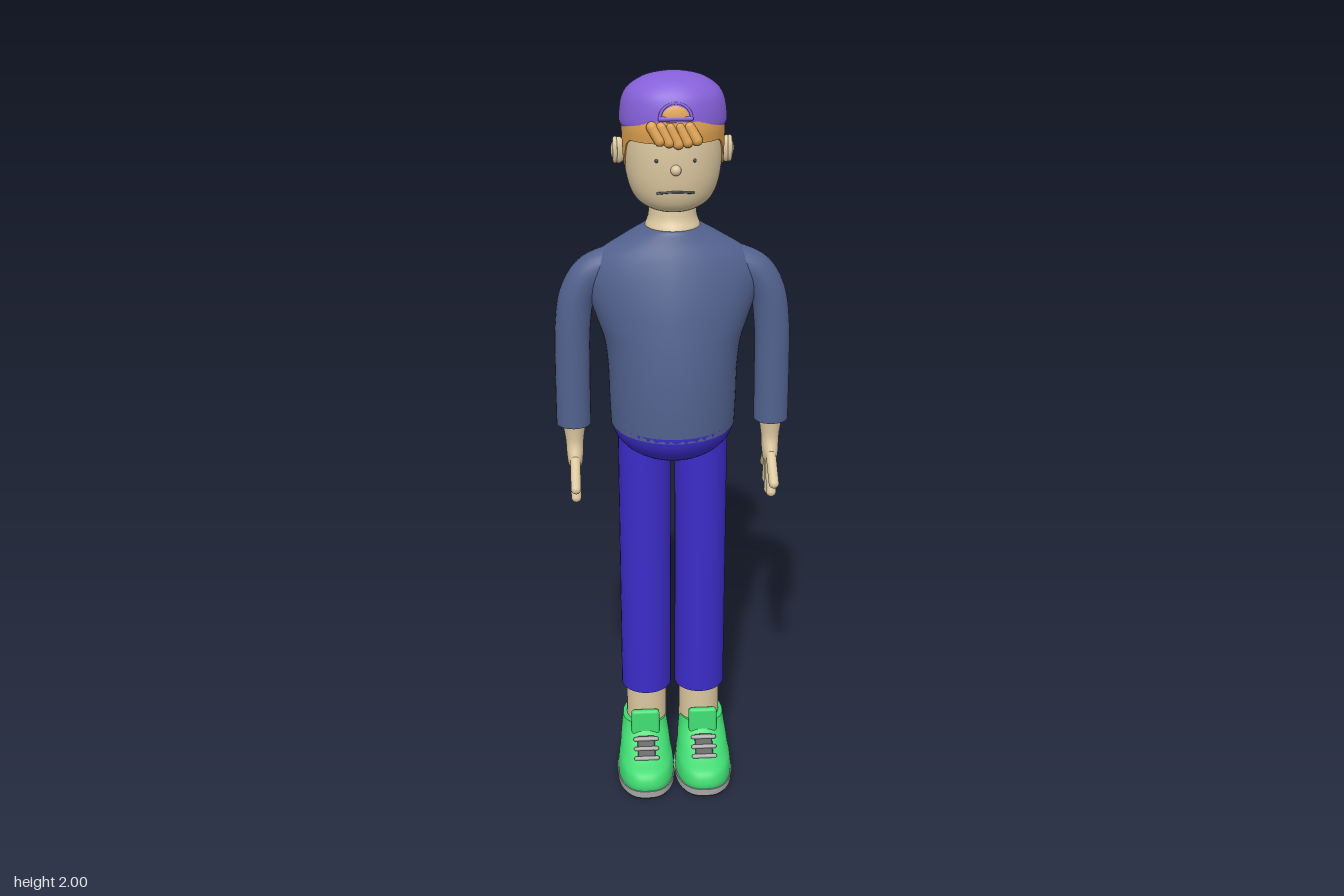
import * as THREE from 'three';
import { RoundedBoxGeometry } from 'three/addons/geometries/RoundedBoxGeometry.js';

const paint = (color) => new THREE.MeshStandardMaterial({ color });
const SKIN = paint(0xdcc8a0), HAIR = paint(0xdca050), CAP = paint(0x8560d8), SHIRT = paint(0x52628f);
const PANTS = paint(0x3b2cc8), GREEN = paint(0x3fd870), SOLE = paint(0xaaaaaa), DARK = paint(0x444444);

function add(parent, name, geometry, material, x = 0, y = 0, z = 0) {
  const mesh = new THREE.Mesh(geometry, material);
  mesh.name = name;
  mesh.position.set(x, y, z);
  parent.add(mesh);
  return mesh;
}

// Catmull-Rom blend of four numbers
const blend = (a, b, c, d, t) =>
  b + 0.5 * t * (c - a + t * (2 * a - 5 * b + 4 * c - d + t * (3 * (b - c) + d - a)));

// Smooth capped loft through rows of [y, half width, back z, front z, roundness]
function loft(rows, rule, steps = 5, seg = 64) {
  const rings = [];
  for (let r = 0; r < rows.length - 1; r++) {
    const q = [-1, 0, 1, 2].map((k) => rows[Math.min(rows.length - 1, Math.max(0, r + k))]);
    for (let s = r ? 1 : 0; s <= steps; s++) rings.push(q[1].map((_, i) => blend(q[0][i], q[1][i], q[2][i], q[3][i], s / steps)));
  }
  const pos = [], index = [];
  const ring = ([y, hx, zb, zf, n]) => {
    for (let i = 0; i < seg; i++) {
      const a = (i / seg) * Math.PI * 2, c = Math.cos(a), s = Math.sin(a);
      const p = new THREE.Vector3(hx * Math.sign(c) * Math.abs(c) ** (2 / n), y,
        (zb + zf) / 2 + ((zf - zb) / 2) * Math.sign(s) * Math.abs(s) ** (2 / n));
      if (rule) rule(p);
      pos.push(p.x, p.y, p.z);
    }
  };
  rings.forEach(ring);
  for (let j = 0; j < rings.length - 1; j++) {
    for (let i = 0; i < seg; i++) {
      const a = j * seg + i, b = j * seg + ((i + 1) % seg);
      index.push(a, a + seg, b, b, a + seg, b + seg);
    }
  }
  for (const [row, top] of [[rings[0], false], [rings[rings.length - 1], true]]) {
    const start = pos.length / 3;
    ring(row);
    const mid = new THREE.Vector3(0, row[0], (row[2] + row[3]) / 2);
    if (rule) rule(mid);
    pos.push(mid.x, mid.y, mid.z);
    for (let i = 0; i < seg; i++) {
      const a = start + i, b = start + ((i + 1) % seg);
      index.push(start + seg, top ? b : a, top ? a : b);
    }
  }
  const g = new THREE.BufferGeometry();
  g.setAttribute('position', new THREE.Float32BufferAttribute(pos, 3));
  g.setIndex(index);
  g.computeVertexNormals();
  return g;
}

// Rod with round ends between two points
function rod(parent, name, a, b, radius, material) {
  const p = new THREE.Vector3(...a), q = new THREE.Vector3(...b), d = q.clone().sub(p);
  const mesh = add(parent, name, new THREE.CapsuleGeometry(radius, d.length(), 6, 14), material);
  mesh.position.copy(p).add(q).multiplyScalar(0.5);
  mesh.quaternion.setFromUnitVectors(new THREE.Vector3(0, 1, 0), d.normalize());
  return mesh;
}

function buildHead(model) {
  const head = new THREE.Group();
  head.name = 'head';
  model.add(head);
  add(head, 'neck', loft([[1.59, 0.074, -0.074, 0.078, 2], [1.62, 0.069, -0.068, 0.072, 2], [1.65, 0.06, -0.06, 0.058, 2], [1.72, 0.058, -0.058, 0.052, 2]]), SKIN);
  add(head, 'face', loft([[1.667, 0.025, -0.025, 0.055, 2], [1.675, 0.062, -0.052, 0.088, 2.1], [1.70, 0.095, -0.077, 0.111, 2.1],
    [1.75, 0.114, -0.087, 0.123, 2.1], [1.82, 0.12, -0.09, 0.126, 2.1], [1.9, 0.118, -0.09, 0.12, 2.1]]), SKIN);
  add(head, 'nose', new THREE.SphereGeometry(0.013, 16, 12), SKIN, 0, 1.787, 0.128);
  const smile = new THREE.CatmullRomCurve3([[-0.045, 1.728, 0.113], [0, 1.733, 0.1205], [0.045, 1.728, 0.113]].map((p) => new THREE.Vector3(...p)));
  add(head, 'mouth', new THREE.TubeGeometry(smile, 16, 0.003, 6), DARK);

  for (const s of [-1, 1]) {
    add(head, 'eye', new THREE.SphereGeometry(0.005, 12, 8), DARK, s * 0.045, 1.808, 0.117);
    const ear = add(head, 'ear', new THREE.SphereGeometry(1, 20, 14), SKIN, s * 0.132, 1.805, -0.006);
    ear.scale.set(0.019, 0.033, 0.016);
    const lobe = add(head, 'earRim', new THREE.TorusGeometry(0.02, 0.006, 8, 20), SKIN, s * 0.14, 1.806, -0.005);
    lobe.rotation.y = Math.PI / 2;
    lobe.scale.set(0.7, 1.3, 1);
  }

  // Hairline drops to sideburns and the nape
  const line = [[-0.2, 1.79], [-0.02, 1.79], [-0.012, 1.835], [0.02, 1.84], [0.04, 1.778], [0.06, 1.835], [0.075, 1.848], [0.2, 1.85]];
  const hairline = (z) => {
    const k = line.findIndex((p) => p[0] >= z), [z0, y0] = line[k - 1], [z1, y1] = line[k];
    return y0 + ((z - z0) / (z1 - z0)) * (y1 - y0);
  };
  add(head, 'hair', loft([[1.78, 0.123, -0.095, 0.129, 2.1], [1.84, 0.125, -0.096, 0.13, 2.1], [1.9, 0.124, -0.096, 0.126, 2.1]],
    (p) => { p.y = THREE.MathUtils.mapLinear(p.y, 1.78, 1.9, hairline(p.z), 1.9); }, 5, 128), HAIR);
  [-0.05, -0.028, -0.006, 0.016, 0.038].forEach((x, i) =>
    rod(head, 'fringeCurl', [x - 0.006, 1.888, 0.118], [x + 0.012, 1.85 + 0.004 * Math.abs(i - 2), 0.126], 0.0135, HAIR));

  // Cap worn back to front
  add(head, 'capCrown', loft([[1.875, 0.128, -0.108, 0.121, 2.1], [1.89, 0.131, -0.108, 0.126, 2.1], [1.93, 0.126, -0.099, 0.121, 2.1],
    [1.96, 0.111, -0.078, 0.109, 2.1], [1.985, 0.077, -0.042, 0.082, 2], [1.997, 0.037, -0.004, 0.05, 2], [2, 0.003, 0.021, 0.025, 2]]), CAP);
  add(head, 'capBrim', loft([[-0.009, 0.004, -0.104, -0.096, 2.5], [-0.009, 0.05, -0.15, -0.045, 3], [-0.009, 0.09, -0.197, 0, 3.4],
    [0, 0.1, -0.207, 0.01, 3.4], [0.009, 0.09, -0.197, 0, 3.4], [0.009, 0.05, -0.15, -0.045, 3], [0.009, 0.004, -0.104, -0.096, 2.5]],
  (p) => {
    p.x *= THREE.MathUtils.mapLinear(p.z, -0.2, 0, 0.93, 1.16);
    p.y += 1.897 + 0.36 * (p.z + 0.09) * (p.z < -0.09 ? 0.9 : 0.2) - 2.3 * p.x * p.x;
  }), CAP);
  const gap = add(head, 'capGap', new THREE.SphereGeometry(1, 24, 12, 0, Math.PI * 2, 0, Math.PI / 2), HAIR, 0, 1.911, 0.117);
  gap.scale.set(0.036, 0.032, 0.01);
  gap.rotation.x = -0.15;
  const arch = add(head, 'capGapRim', new THREE.TorusGeometry(0.037, 0.004, 8, 28, Math.PI), CAP, 0, 1.91, 0.121);
  arch.scale.y = 0.9;
  arch.rotation.x = -0.2;
  rod(head, 'capStrap', [-0.036, 1.908, 0.121], [0.036, 1.908, 0.121], 0.006, CAP);
}

function buildArm(model, s) {
  const arm = new THREE.Group();
  arm.name = s > 0 ? 'leftArm' : 'rightArm';
  model.add(arm);
  const path = new THREE.CatmullRomCurve3([[0.1, 1.535], [0.16, 1.52], [0.21, 1.495], [0.242, 1.44], [0.255, 1.36], [0.259, 1.22], [0.26, 1.085]]
    .map(([x, y]) => new THREE.Vector3(s * x, y, 0.003)));
  add(arm, 'sleeve', new THREE.TubeGeometry(path, 40, 0.0455, 24), SHIRT);
  add(arm, 'cuff', new THREE.CircleGeometry(0.0455, 24), SHIRT, s * 0.26, 1.085, 0.003).rotation.x = Math.PI / 2;
  const shape = loft([[0.965, 0.012, -0.015, 0.04, 2], [0.975, 0.019, -0.026, 0.05, 2.2], [1.0, 0.022, -0.026, 0.052, 2.2],
    [1.04, 0.024, -0.021, 0.038, 2], [1.1, 0.033, -0.029, 0.042, 2]], null, 5, 28);
  add(arm, 'hand', shape, SKIN, s * 0.259, 0, 0);
  // Digits fan out front to back: [root z, root y, tip z, tip y]
  for (const [z0, y0, z1, y1] of [[0.035, 1.0, 0.117, 0.945], [0.032, 0.985, 0.068, 0.896], [0.016, 0.98, 0.021, 0.88], [-0.002, 0.98, -0.027, 0.89], [-0.012, 0.99, -0.076, 0.917]])
    rod(arm, 'finger', [s * 0.259, y0, z0], [s * 0.259, y1, z1], 0.0135, SKIN);
}

function buildLeg(model, s) {
  const leg = new THREE.Group();
  leg.name = s > 0 ? 'leftLeg' : 'rightLeg';
  model.add(leg);
  add(leg, 'trouserLeg', new THREE.CylinderGeometry(0.07, 0.07, 0.8, 32), PANTS, s * 0.075, 0.67, 0.005);
  add(leg, 'ankle', new THREE.CylinderGeometry(0.057, 0.057, 0.2, 28), SKIN, s * 0.075, 0.2, 0.005);

  const shoe = new THREE.Group();
  shoe.name = 'shoe';
  shoe.position.x = s * 0.082;
  leg.add(shoe);
  // Heel is narrower than the toe
  const narrow = (p) => { p.x *= THREE.MathUtils.mapLinear(THREE.MathUtils.clamp(p.z, -0.07, 0.08), -0.07, 0.08, 0.86, 1); };
  add(shoe, 'outsole', loft([[0, 0.078, -0.063, 0.203, 2.5], [0.008, 0.081, -0.066, 0.207, 2.5]], narrow), DARK);
  add(shoe, 'sole', loft([[0.008, 0.082, -0.067, 0.208, 2.5], [0.028, 0.083, -0.068, 0.209, 2.5]], narrow), SOLE);
  add(shoe, 'upper', loft([[0.026, 0.08, -0.065, 0.206, 2.5], [0.045, 0.08, -0.066, 0.207, 2.5], [0.07, 0.077, -0.066, 0.194, 2.5],
    [0.09, 0.074, -0.066, 0.156, 2.4], [0.115, 0.072, -0.066, 0.117, 2.4], [0.14, 0.069, -0.066, 0.087, 2.3], [0.162, 0.066, -0.064, 0.07, 2.3]], narrow), GREEN);
  const tongue = add(shoe, 'tongue', new RoundedBoxGeometry(0.08, 0.085, 0.02, 4, 0.0095), GREEN, 0, 0.164, 0.07);
  tongue.rotation.x = -0.12;
  const panel = add(shoe, 'lacePanel', new RoundedBoxGeometry(0.05, 0.07, 0.012, 3, 0.005), DARK, 0, 0.112, 0.119);
  panel.rotation.x = -0.88;
  for (const [y, z] of [[0.132, 0.103], [0.114, 0.124], [0.097, 0.146]])
    rod(shoe, 'lace', [-0.03, y, z], [0.03, y, z], 0.006, SOLE);
}

export function createModel() {
  const model = new THREE.Group();
  model.name = 'standingFigure';
  buildHead(model);
  add(model, 'sweater', loft([[1.09, 0.162, -0.155, 0.169, 2], [1.17, 0.165, -0.155, 0.17, 2], [1.25, 0.167, -0.152, 0.167, 2],
    [1.32, 0.175, -0.147, 0.16, 1.95], [1.38, 0.194, -0.14, 0.151, 1.85], [1.44, 0.212, -0.13, 0.14, 1.75], [1.5, 0.218, -0.117, 0.124, 1.7],
    [1.55, 0.19, -0.102, 0.107, 1.75], [1.59, 0.127, -0.087, 0.09, 1.9], [1.615, 0.08, -0.077, 0.08, 2], [1.62, 0.069, -0.07, 0.074, 2]]), SHIRT);
  const hips = add(model, 'hips', new THREE.SphereGeometry(1, 40, 16, 0, Math.PI * 2, Math.PI / 2, Math.PI / 2), PANTS, 0, 1.103, 0.007);
  hips.scale.set(0.162, 0.112, 0.163);
  for (const s of [-1, 1]) {
    buildArm(model, s);
    buildLeg(model, s);
  }
  return model;
}
